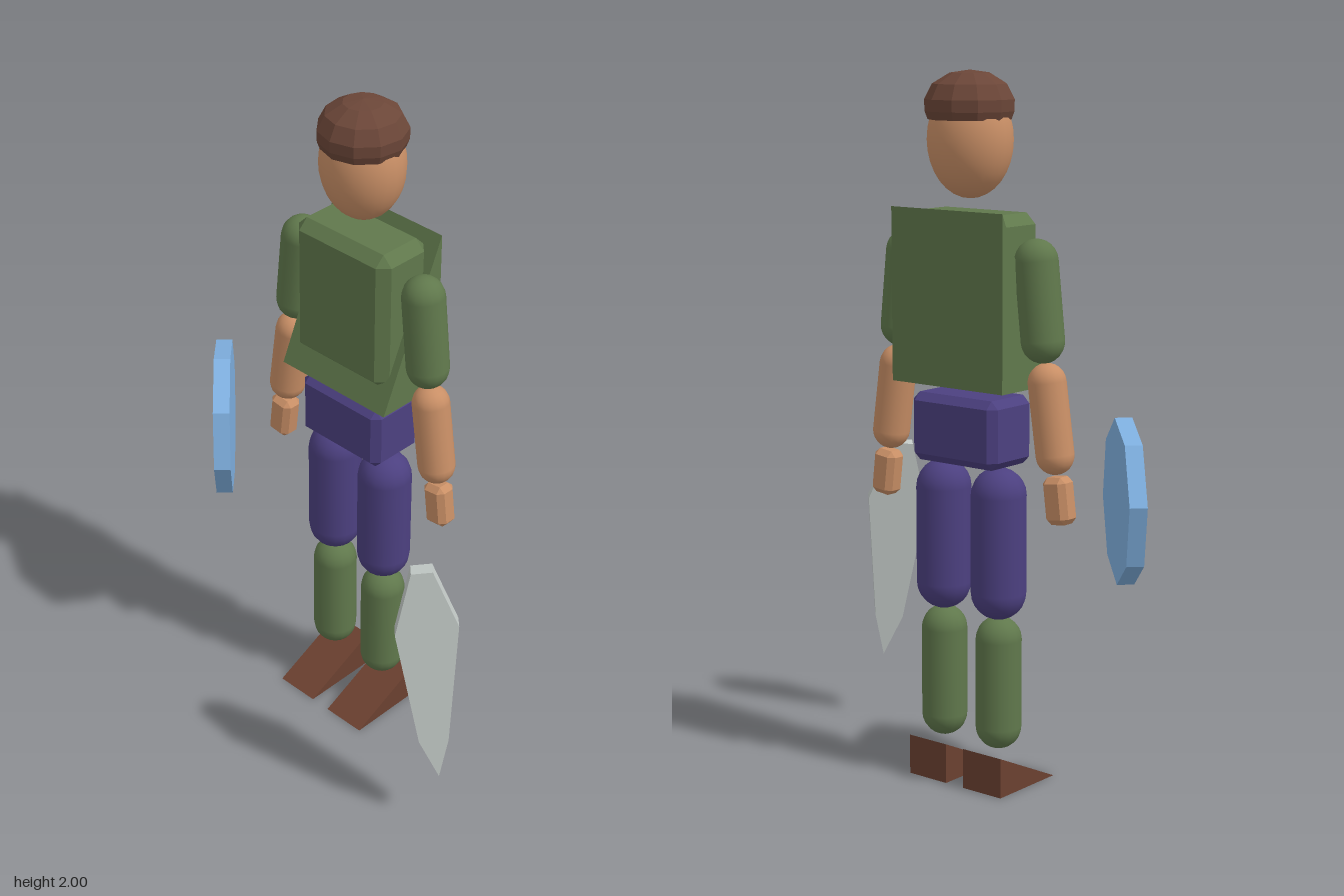
import * as THREE from 'three';
import { ConvexGeometry } from 'three/addons/geometries/ConvexGeometry.js';

const CX = -0.01; // middle of the body
const CZ = -0.114;

const paint = (color, flatShading = true) => new THREE.MeshStandardMaterial({ color, flatShading });
const skin = paint(0xc98f66), skinSmooth = paint(0xc98f66, false);
const green = paint(0x60784c), greenSmooth = paint(0x60784c, false);
const purple = paint(0x4c4080), purpleSmooth = paint(0x4c4080, false);
const leather = paint(0x6b4030), hairBrown = paint(0x6b4638);
const blue = paint(0x7fb0e0), steel = paint(0xc2c9c6);

function add(parent, name, geometry, material, x = 0, y = 0, z = 0) {
  const mesh = new THREE.Mesh(geometry, material);
  mesh.name = name;
  mesh.position.set(x, y, z);
  parent.add(mesh);
  return mesh;
}

// Box with every edge and corner cut by b
function chamferBox(w, h, d, b) {
  const pts = [];
  for (const i of [-1, 1]) for (const j of [-1, 1]) for (const k of [-1, 1]) {
    for (let axis = 0; axis < 3; axis++) {
      const c = [0, 1, 2].map((a) => (a === axis ? 0 : b));
      pts.push(new THREE.Vector3(i * (w / 2 - c[0]), j * (h / 2 - c[1]), k * (d / 2 - c[2])));
    }
  }
  return new ConvexGeometry(pts);
}

// Prism from a 2D outline, centred on its thickness
function slab(points, depth) {
  const shape = new THREE.Shape(points.map(([x, y]) => new THREE.Vector2(x, y)));
  return new THREE.ExtrudeGeometry(shape, { depth, bevelEnabled: false }).translate(0, 0, -depth / 2);
}

// Right-angled ramp, tall at the back
function wedge(width, zFront, zBack, y0, y1) {
  return slab([[zBack, y0], [zFront, y0], [zBack, y1]], width).rotateY(-Math.PI / 2);
}

// Capsule between the centres of its two round ends
function limb(parent, name, top, bottom, radius, material) {
  const a = new THREE.Vector3(...top), b = new THREE.Vector3(...bottom);
  const geometry = new THREE.CapsuleGeometry(radius, a.distanceTo(b), 6, 16);
  const mesh = add(parent, name, geometry, material);
  mesh.position.copy(a).add(b).multiplyScalar(0.5);
  mesh.quaternion.setFromUnitVectors(new THREE.Vector3(0, 1, 0), a.sub(b).normalize());
}

export function createModel() {
  const model = new THREE.Group();
  model.name = 'warrior';

  // Head and hair
  add(model, 'head', new THREE.SphereGeometry(1, 24, 16).scale(0.123, 0.16, 0.112),
    skinSmooth, CX, 1.815, CZ);
  const hairProfile = [[0, 1.868], [0.115, 1.868], [0.123, 1.89], [0.124, 1.922],
    [0.103, 1.963], [0.055, 1.992], [0, 2]].map(([r, y]) => new THREE.Vector2(r, y));
  add(model, 'hair', new THREE.LatheGeometry(hairProfile, 11), hairBrown, CX, 0, CZ);

  // Torso with a sloped tunic at the back, and hips
  add(model, 'torso', chamferBox(0.345, 0.42, 0.185, 0.03), green, CX, 1.41, -0.11);
  add(model, 'tunic', wedge(0.39, -0.002, -0.218, 1.147, 1.63), green, CX);
  add(model, 'hips', chamferBox(0.3, 0.192, 0.182, 0.022), purple, CX, 1.022, -0.112);

  for (const side of [-1, 1]) {
    const half = new THREE.Group();
    half.name = side > 0 ? 'leftLimbs' : 'rightLimbs';
    model.add(half);
    const X = (offset) => CX + side * offset;

    // Leg
    const legX = X(0.099);
    limb(half, 'thigh', [legX, 0.843, CZ], [legX, 0.568, CZ], 0.078, purpleSmooth);
    limb(half, 'shin', [legX, 0.432, CZ], [legX, 0.18, CZ], 0.065, greenSmooth);
    add(half, 'foot', wedge(0.135, 0.052, -0.19, 0, 0.115), leather, legX);

    // Arm
    limb(half, 'upperArm', [X(0.228), 1.5, CZ], [X(0.251), 1.286, CZ], 0.06, greenSmooth);
    limb(half, 'forearm', [X(0.266), 1.176, CZ], [X(0.294), 0.98, CZ], 0.053, skinSmooth);
    const hand = add(half, 'hand', chamferBox(0.076, 0.13, 0.066, 0.016), skin, X(0.31), 0.858, CZ);
    hand.rotation.z = side * 0.12;
  }

  // Eight-sided shield, turned outwards
  const rim = [];
  for (let i = 0; i < 8; i++) {
    const a = (i * 45 - 8) * Math.PI / 180;
    rim.push([0.227 * Math.cos(a), 0.227 * Math.sin(a)]);
  }
  const shield = add(model, 'shield', slab(rim, 0.048), blue, -0.442, 0.85, 0.016);
  shield.rotation.y = -Math.PI / 4;

  // Tapering blade, turned and leaning
  const outline = [[-0.055, 0.33], [-0.095, 0.131], [-0.023, -0.228], [0.036, -0.348],
    [0.06, -0.221], [0.079, 0.161], [0.004, 0.336]];
  const blade = add(model, 'blade', slab(outline, 0.045), steel, 0.526, 0.548, 0.166);
  const across = new THREE.Vector3(1, 0, -1).normalize();
  const facing = new THREE.Vector3(1, 0.155, 1).normalize();
  const along = new THREE.Vector3().crossVectors(facing, across);
  blade.quaternion.setFromRotationMatrix(new THREE.Matrix4().makeBasis(across, along, facing));

  return model;
}
